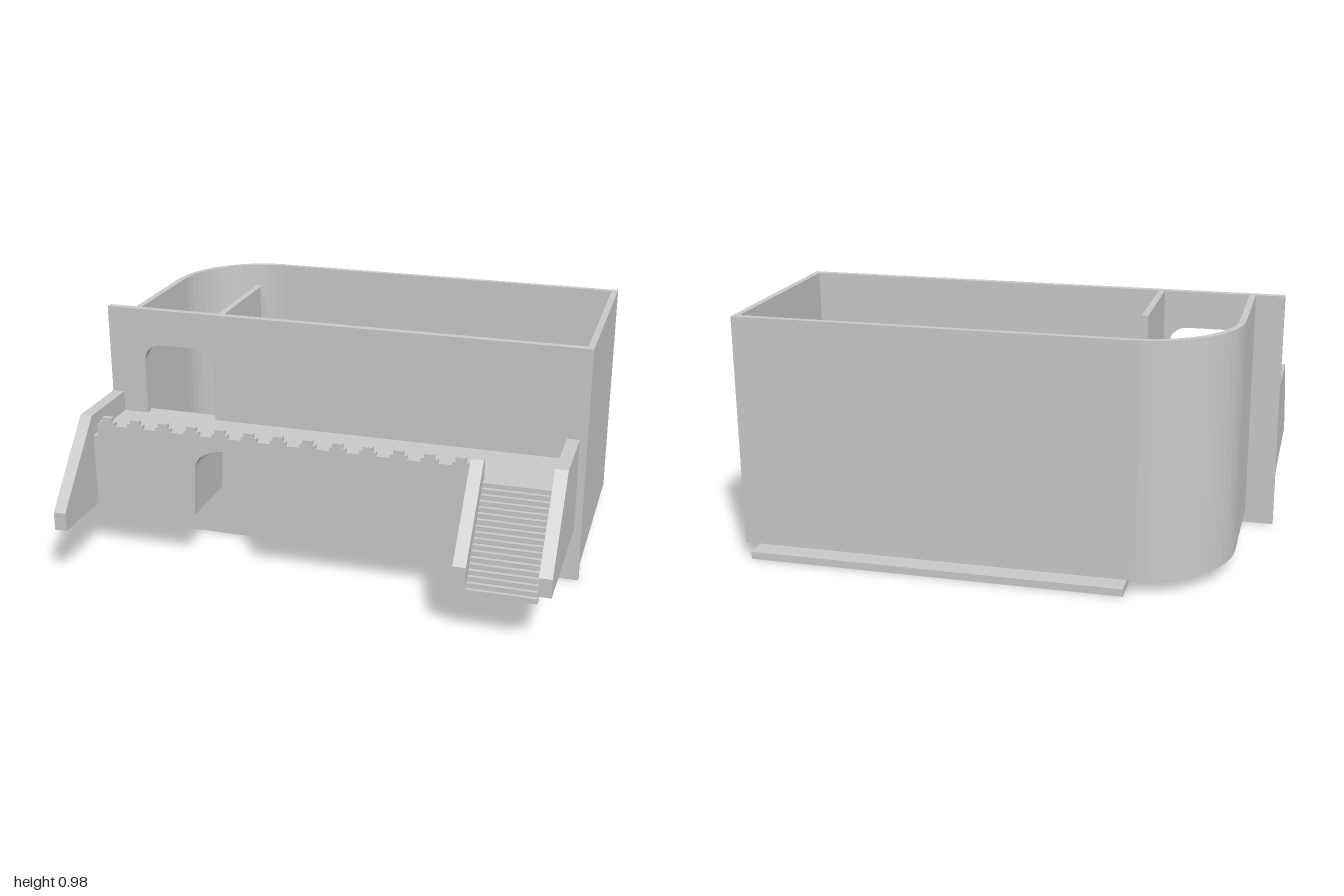
import * as THREE from 'three';

const material = new THREE.MeshStandardMaterial({ color: 0xcccccc, flatShading: true });

export function createModel() {
  const model = new THREE.Group();

  const add = (name, geometry, parent = model) => {
    const mesh = new THREE.Mesh(geometry, material);
    mesh.name = name;
    parent.add(mesh);
    return mesh;
  };

  // Box given by its two extreme corners
  const block = (name, x0, x1, y0, y1, z0, z1, parent) => {
    const g = new THREE.BoxGeometry(x1 - x0, y1 - y0, z1 - z0);
    g.translate((x0 + x1) / 2, (y0 + y1) / 2, (z0 + z1) / 2);
    return add(name, g, parent);
  };

  const polygon = (points) => new THREE.Shape(points.map(([x, y]) => new THREE.Vector2(x, y)));
  const extrude = (shape, depth, curveSegments = 8) =>
    new THREE.ExtrudeGeometry(shape, { depth, bevelEnabled: false, curveSegments });

  // Outline in x/y, extruded from z0 to z1
  const upright = (name, shape, z0, z1) => add(name, extrude(shape, z1 - z0).translate(0, 0, z0));

  // Plan in x/-z, extruded from y0 to y1
  const fromPlan = (name, shape, y0, y1) =>
    add(name, extrude(shape, y1 - y0, 7).rotateX(-Math.PI / 2).translate(0, y0, 0));

  // Front wall with a round-cornered doorway onto the terrace
  const facade = polygon([[-1, 0], [1, 0], [1, 0.975], [-1, 0.975]]);
  const doorway = new THREE.Path();
  doorway.moveTo(-0.845, 0.52);
  doorway.lineTo(-0.845, 0.75);
  doorway.absarc(-0.77, 0.75, 0.075, Math.PI, Math.PI / 2, true);
  doorway.lineTo(-0.615, 0.825);
  doorway.absarc(-0.615, 0.75, 0.075, Math.PI / 2, 0, true);
  doorway.lineTo(-0.54, 0.52);
  doorway.closePath();
  facade.holes.push(doorway);
  upright('frontWall', facade, 0.11, 0.14);

  // Side and back walls in one run, with a rounded back corner
  const walls = new THREE.Shape();
  walls.moveTo(-0.885, -0.11);
  walls.lineTo(-0.885, 0.335);
  walls.absellipse(-0.51, 0.335, 0.375, 0.37, Math.PI, Math.PI / 2, true);
  walls.lineTo(1, 0.705);
  walls.lineTo(1, -0.11);
  walls.lineTo(0.975, -0.11);
  walls.lineTo(0.975, 0.68);
  walls.lineTo(-0.51, 0.68);
  walls.absellipse(-0.51, 0.335, 0.35, 0.345, Math.PI / 2, Math.PI, false);
  walls.lineTo(-0.86, -0.11);
  walls.closePath();
  fromPlan('outerWalls', walls, 0.06, 0.975);

  // Floor slab and inner partition
  block('floor', -0.51, 0.97, 0, 0.03, -0.725, 0.11);
  block('partition', -0.52, -0.495, 0.06, 0.975, -0.335, 0.11);

  // Stair wall beside the lower inner flight
  upright('stairWall', polygon([[-0.495, 0.06], [-0.08, 0.06], [-0.08, 0.42],
    [-0.35, 0.42], [-0.495, 0.975]]), -0.335, -0.315);

  // Quarter-round landing in the corner
  const landing = new THREE.Shape();
  landing.moveTo(-0.485, 0.32);
  landing.lineTo(-0.86, 0.32);
  landing.lineTo(-0.86, 0.335);
  landing.absellipse(-0.51, 0.335, 0.35, 0.345, Math.PI, Math.PI / 2, true);
  landing.lineTo(-0.485, 0.68);
  landing.closePath();
  fromPlan('landing', landing, 0.18, 0.22);

  // Upper inner flight, from the doorway down to the landing
  const upperFlight = new THREE.Group();
  upperFlight.name = 'upperInnerStairs';
  const upperSteps = 19;
  for (let i = 0; i < upperSteps; i++) {
    const z = 0.11 - (i * 0.43) / upperSteps;
    const y = 0.52 - (i * 0.3) / upperSteps;
    block('step', -0.86, -0.52, y - 0.04, y, z - 0.43 / upperSteps, z, upperFlight);
  }

  // Lower inner flight, from the landing down to the floor
  const lowerFlight = new THREE.Group();
  lowerFlight.name = 'lowerInnerStairs';
  const lowerSteps = 14;
  for (let i = 0; i < lowerSteps; i++) {
    const x = -0.485 + (i * 0.325) / lowerSteps;
    const y = 0.21 - (i * 0.13) / lowerSteps;
    block('step', x, x + 0.325 / lowerSteps, Math.max(0.055, y - 0.04), y, -0.68, -0.335, lowerFlight);
  }

  // Outer flight, from the terrace down to the ground, stepped underneath too
  const outerFlight = new THREE.Group();
  outerFlight.name = 'outerStairs';
  const outerSteps = 18;
  for (let i = 0; i < outerSteps; i++) {
    const z = 0.44 + (i * 0.28) / outerSteps;
    const y = 0.52 - (i * 0.33) / outerSteps;
    block('step', 0.655, 0.92, y - 0.02, y, z - 0.012, z + 0.28 / outerSteps, outerFlight);
  }
  model.add(upperFlight, lowerFlight, outerFlight);

  // Terrace block with an arched recess in its front
  const terrace = new THREE.Shape();
  terrace.moveTo(-0.95, 0.22);
  terrace.lineTo(-0.52, 0.22);
  terrace.lineTo(-0.51, 0.43);
  terrace.absellipse(-0.37, 0.43, 0.14, 0.085, Math.PI, 0, true);
  terrace.lineTo(-0.22, 0.22);
  terrace.lineTo(0.92, 0.22);
  terrace.lineTo(0.92, 0.52);
  terrace.lineTo(-0.95, 0.52);
  terrace.closePath();
  upright('terrace', terrace, 0.14, 0.44);

  // Parapet with small stepped merlons
  const crest = [[0.605, 0.52], [0.605, 0.57]];
  for (let i = 12; i >= 0; i--) {
    const x = -0.885 + i * 0.121;
    crest.push([x + 0.033, 0.57], [x + 0.033, 0.585], [x + 0.02, 0.585], [x + 0.02, 0.603],
      [x - 0.02, 0.603], [x - 0.02, 0.585], [x - 0.033, 0.585], [x - 0.033, 0.57]);
  }
  crest.push([-0.93, 0.57], [-0.93, 0.52]);
  upright('parapet', polygon(crest), 0.42, 0.44);

  // Sloping side walls; profile in z/y turned to run along x
  const cheek = (name, x0, x1, back) => {
    const profile = polygon([[-0.72, 0.22], [-back, 0.22], [-back, 0.605], [-0.443, 0.605], [-0.72, 0.295]]);
    add(name, extrude(profile, x1 - x0).rotateY(Math.PI / 2).translate(x0, 0, 0));
  };
  cheek('rightTerraceWall', -1, -0.95, 0.14);
  cheek('leftTerraceWall', 0.92, 0.97, 0.14);
  cheek('stairCheek', 0.605, 0.655, 0.42);

  return model;
}
